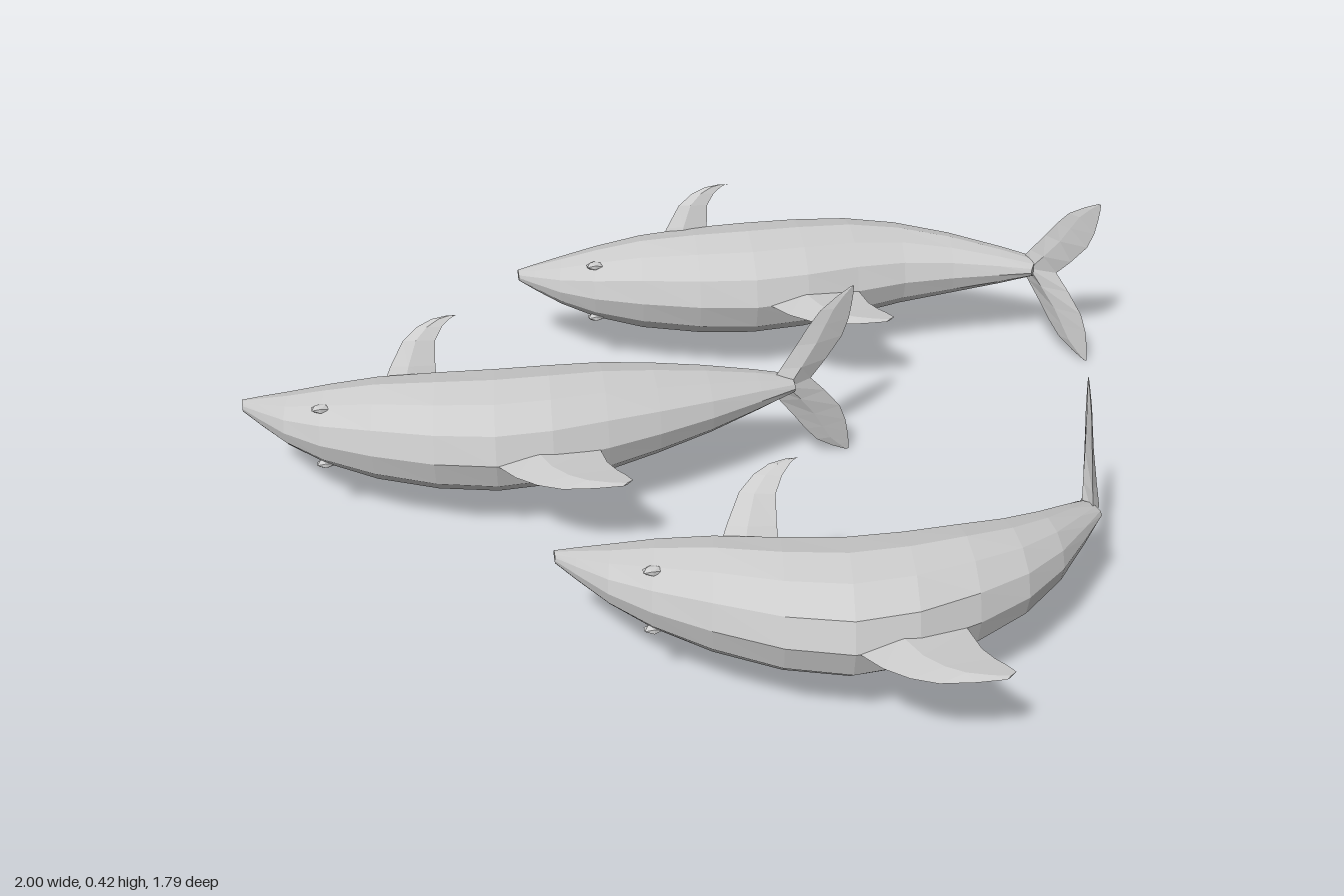
import * as THREE from 'three';

const MID = 0.21; // height of the plane of symmetry (each dolphin lies on its side)
const V = (x, y, z) => new THREE.Vector3(x, y, z);
const material = new THREE.MeshStandardMaterial({ color: 0xcccccc, flatShading: true });

// Smoothly interpolate a few rows of values into steps + 1 rows.
function spline(rows, steps) {
  const curves = rows[0].map((_, c) => new THREE.SplineCurve(rows.map(r => new THREE.Vector2(r[c], 0))));
  return Array.from({ length: steps + 1 }, (_, i) => curves.map(c => c.getPoint(i / steps).x));
}

// Skin a list of equal-sized point rings, close both ends, and face outwards.
function loft(name, rings) {
  const n = rings[0].length, points = rings.flat(), idx = [];
  for (let i = 0; i < rings.length - 1; i++) {
    for (let j = 0; j < n; j++) {
      const a = i * n + j, b = i * n + (j + 1) % n;
      idx.push(a, b, a + n, b, b + n, a + n);
    }
  }
  const last = (rings.length - 1) * n;
  for (let j = 1; j < n - 1; j++) idx.push(0, j + 1, j, last, last + j, last + j + 1);
  // signed volume tells whether the winding must be reversed
  let volume = 0;
  for (let i = 0; i < idx.length; i += 3) {
    volume += points[idx[i]].dot(points[idx[i + 1]].clone().cross(points[idx[i + 2]]));
  }
  if (volume < 0) idx.reverse();
  const g = new THREE.BufferGeometry().setFromPoints(points);
  g.setIndex(idx);
  g.computeVertexNormals();
  const mesh = new THREE.Mesh(g, material);
  mesh.name = name;
  return mesh;
}

// Thin lens-shaped section between a leading and a trailing point.
function blade(lead, trail, thick) {
  const m = lead.clone().lerp(trail, 0.4);
  return [lead, m.clone().add(thick), trail, m.clone().sub(thick)];
}

// Half width from beak to tail stock, shared by all dolphins
const WIDTH = spline([[0.012], [0.055], [0.107], [0.123], [0.112], [0.07], [0.018]], 12);

// Body: rings spanning from the belly line to the back line
function body(stations) {
  const sides = 12;
  return loft('body', stations.map(([bx, bz, kx, kz], i) => Array.from({ length: sides }, (_, j) => {
    const a = j / sides * Math.PI * 2, t = 0.5 + 0.5 * Math.cos(a);
    return V(bx + (kx - bx) * t, MID + WIDTH[i][0] * Math.sin(a), bz + (kz - bz) * t);
  })));
}

// Swept dorsal fin: lead x, z, trail x, z, half thickness
const DORSAL = spline([
  [-0.03, -0.07, 0.22, -0.1, 0.022], [0.04, 0.048, 0.235, 0.02, 0.012],
  [0.13, 0.11, 0.265, 0.075, 0.008], [0.255, 0.12, 0.278, 0.1, 0.002],
], 6);
function dorsalFin([x, z]) {
  return loft('dorsalFin', DORSAL.map(([lx, lz, tx, tz, t]) =>
    blade(V(x + lx, MID, z + lz), V(x + tx, MID, z + tz), V(0, t, 0))));
}

// Flipper: lead x, z, trail x, z, distance from the mid plane, half thickness
const FLIPPER = spline([
  [-0.01, 0.03, 0.11, 0.045, 0.06, 0.014], [0.045, -0.04, 0.113, -0.02, 0.155, 0.008],
  [0.11, -0.073, 0.15, -0.066, 0.192, 0.004], [0.165, -0.082, 0.17, -0.082, 0.194, 0.001],
], 6);
function flipper(name, [x, z, flare], side) {
  return loft(name, FLIPPER.map(([lx, lz, tx, tz, y, t]) => blade(
    V(x + lx, MID + side * y, z + lz * flare), V(x + tx, MID + side * y, z + tz * flare), V(0, side * t * 0.5, t))));
}

// Flukes: distance from the mid plane, lead and trail along the tail direction, half thickness
const FLUKE = spline([
  [0, -0.03, 0.075, 0.018], [0.09, 0.037, 0.15, 0.009], [0.165, 0.095, 0.172, 0.005], [0.209, 0.168, 0.176, 0.001],
], 6);
function flukes([x, z, angle]) {
  const dir = V(Math.cos(angle), 0, Math.sin(angle)), normal = V(-dir.z, 0, dir.x);
  const row = ([y, lead, trail, t], side) => {
    const along = s => V(x, MID + side * y, z).addScaledVector(dir, s);
    return blade(along(lead), along(trail), normal.clone().multiplyScalar(t));
  };
  const half = FLUKE.slice(1).reverse();
  return loft('flukes', [...half.map(r => row(r, -1)), ...FLUKE.map(r => row(r, 1))]);
}

// Small bump on the side of the head
function eye(name, [bx, bz, kx, kz], side) {
  const mesh = new THREE.Mesh(new THREE.IcosahedronGeometry(1, 0), material);
  mesh.name = name;
  mesh.scale.set(0.022, 0.01, 0.014);
  mesh.position.set(bx + (kx - bx) * 0.78, MID + side * 0.068, bz + (kz - bz) * 0.78);
  return mesh;
}

// outline: belly x, z and back x, z; dorsal: x, z; flipper: x, z, flare; tail: x, z, angle
const curved = { // tail curled towards the back
  name: 'curvedDolphin', dorsal: [0.11, 0.77], flipper: [-0.09, 0.46, 1], tail: [0.69, 0.375, -1.39],
  outline: [[-0.4, 0.335, -0.4, 0.365], [-0.2, 0.38, -0.24, 0.57], [0.15, 0.46, 0.11, 0.77],
    [0.46, 0.44, 0.48, 0.65], [0.665, 0.35, 0.705, 0.4]],
};
const straight = { // almost level
  name: 'straightDolphin', dorsal: [-0.485, 0], flipper: [-0.69, -0.275, 0.55], tail: [0.17, -0.23, -0.245],
  outline: [[-1, -0.365, -1, -0.335], [-0.8, -0.33, -0.84, -0.15], [-0.45, -0.3, -0.48, 0],
    [-0.12, -0.295, -0.12, -0.07], [0.19, -0.265, 0.2, -0.205]],
};
const arched = { // tail bent the other way
  name: 'archedDolphin', dorsal: [0.215, -0.59], flipper: [0, -0.83, 0.38], tail: [0.878, -0.69, 0.806],
  outline: [[-0.345, -0.87, -0.345, -0.84], [-0.15, -0.88, -0.18, -0.7], [0.2, -0.903, 0.19, -0.59],
    [0.57, -0.868, 0.56, -0.65], [0.91, -0.71, 0.87, -0.645]],
};

export function createModel() {
  const model = new THREE.Group();
  model.name = 'dolphins';
  for (const d of [curved, straight, arched]) {
    const stations = spline(d.outline, 12);
    const g = new THREE.Group();
    g.name = d.name;
    g.add(body(stations), dorsalFin(d.dorsal), flukes(d.tail));
    for (const [label, side] of [['upper', 1], ['lower', -1]]) {
      g.add(flipper(label + 'Flipper', d.flipper, side), eye(label + 'Eye', stations[3], side));
    }
    model.add(g);
  }
  return model;
}
